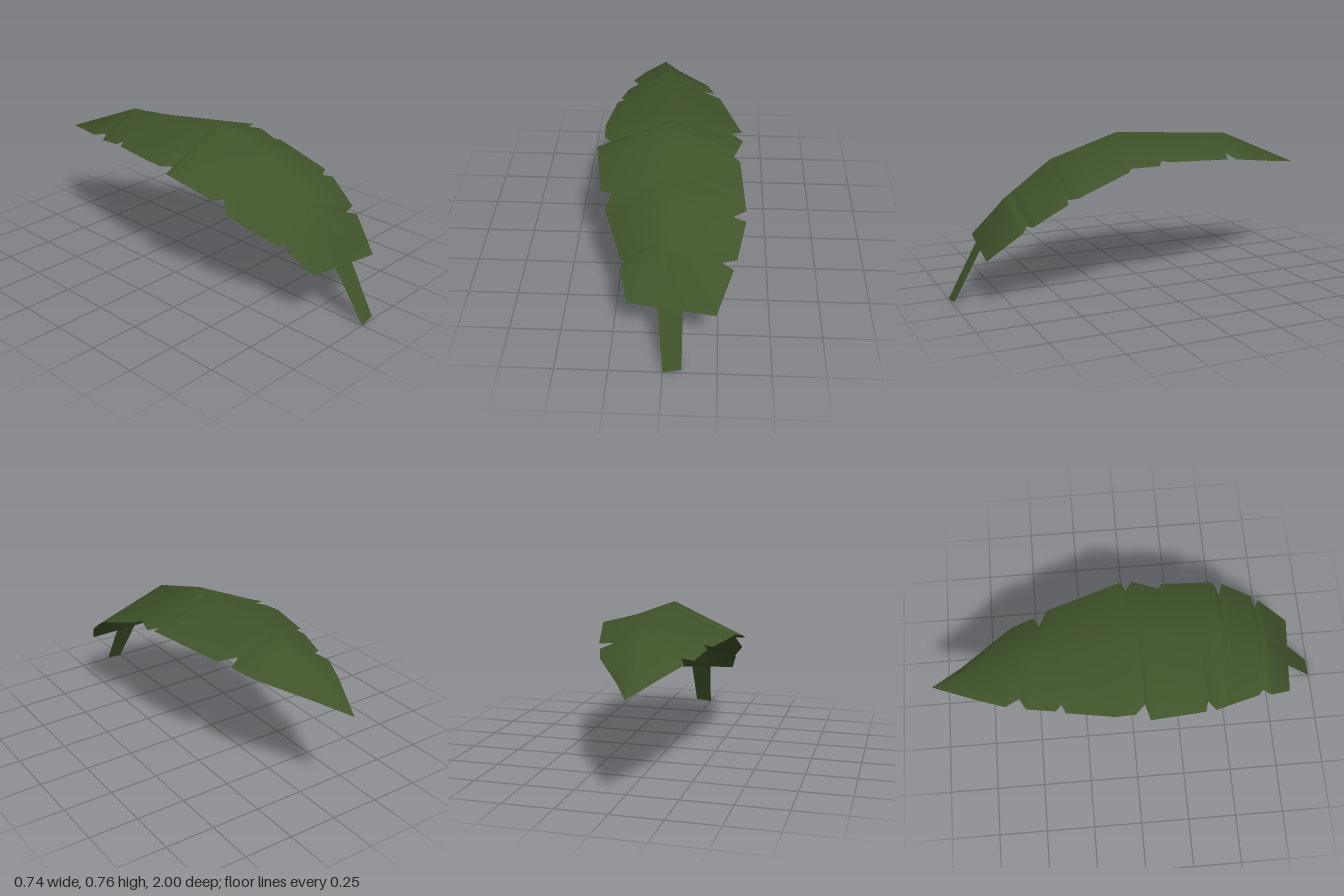
import * as THREE from 'three';
import { mergeVertices } from 'three/addons/utils/BufferGeometryUtils.js';

// Midrib and torn edges as [x, y, z], running from the leaf base to its tip
const tip = [-0.08, 0.51, -1];
const spine = [
  [0.03, 0.25, 0.85], [0.02, 0.48, 0.71], [0.01, 0.65, 0.47],
  [0, 0.76, 0.11], [-0.03, 0.71, -0.53], tip,
];
const leftEdge = [ // +x side
  [0.24, 0.237, 0.87], [0.315, 0.375, 0.71], [0.26, 0.39, 0.68], [0.33, 0.4, 0.67],
  [0.37, 0.5, 0.51], [0.3, 0.505, 0.49], [0.37, 0.525, 0.46], [0.34, 0.62, 0.19],
  [0.31, 0.63, 0.17], [0.355, 0.64, 0.04], [0.3, 0.655, 0], [0.35, 0.655, -0.015],
  [0.24, 0.62, -0.4], [0.15, 0.635, -0.44], [0.21, 0.61, -0.47], [0.17, 0.59, -0.59],
  [0, 0.535, -0.85], tip,
];
const rightEdge = [ // -x side
  [-0.17, 0.265, 0.83], [-0.21, 0.355, 0.715], [-0.19, 0.38, 0.67], [-0.21, 0.362, 0.65],
  [-0.305, 0.475, 0.41], [-0.275, 0.535, 0.365], [-0.33, 0.54, 0.35], [-0.37, 0.605, 0.07],
  [-0.29, 0.613, 0.05], [-0.34, 0.617, 0], [-0.345, 0.625, -0.1], [-0.305, 0.62, -0.335],
  [-0.265, 0.63, -0.355], [-0.29, 0.615, -0.385], [-0.26, 0.59, -0.53], [-0.21, 0.605, -0.56],
  [-0.24, 0.59, -0.63], [-0.185, 0.565, -0.77], tip,
];

// Point on a polyline at a given z, clamped to its ends
function at(line, z) {
  if (z >= line[0][2]) return line[0];
  for (let i = 1; i < line.length; i++) {
    const a = line[i - 1], b = line[i];
    if (z >= b[2]) {
      const t = (a[2] - z) / (a[2] - b[2]);
      return a.map((v, k) => v + (b[k] - v) * t);
    }
  }
  return line[line.length - 1];
}

function surface(triangles) {
  const geometry = new THREE.BufferGeometry();
  geometry.setAttribute('position', new THREE.Float32BufferAttribute(triangles.flat(2), 3));
  const merged = mergeVertices(geometry, 1e-4);
  merged.computeVertexNormals();
  return merged;
}

export function createModel() {
  const group = new THREE.Group();
  group.name = 'leaf';
  const green = new THREE.MeshStandardMaterial({ color: 0x40532a, side: THREE.DoubleSide });
  green.name = 'leafGreen';

  // Blade: two sloping halves strung between the midrib and each torn edge
  const rows = [...new Set([...spine, ...leftEdge, ...rightEdge].map((p) => p[2]))].sort((a, b) => b - a);
  const triangles = [];
  for (let i = 1; i < rows.length; i++) {
    const s0 = at(spine, rows[i - 1]), s1 = at(spine, rows[i]);
    const l0 = at(leftEdge, rows[i - 1]), l1 = at(leftEdge, rows[i]);
    const r0 = at(rightEdge, rows[i - 1]), r1 = at(rightEdge, rows[i]);
    const strip = [[s0, l0, s1], [l0, l1, s1], [s0, s1, r0], [r0, s1, r1]];
    const same = (a, b) => a.every((v, k) => Math.abs(v - b[k]) < 1e-6);
    triangles.push(...strip.filter(([a, b, c]) => !same(a, b) && !same(b, c) && !same(a, c)));
  }
  const blade = new THREE.Mesh(surface(triangles), green);
  blade.name = 'blade';

  // Stem: flat stalk tapering to a point on the midrib, just above the blade
  const footR = [0, 0, 1], footL = [0.087, 0.01, 0.992];
  const neckR = [-0.028, 0.256, 0.85], neckL = [0.087, 0.247, 0.86], apex = [0.02, 0.483, 0.714];
  const stem = new THREE.Mesh(surface([
    [footR, footL, neckL], [footR, neckL, neckR], [neckR, neckL, apex],
  ]), green);
  stem.name = 'stem';

  group.add(blade, stem);
  return group;
}
